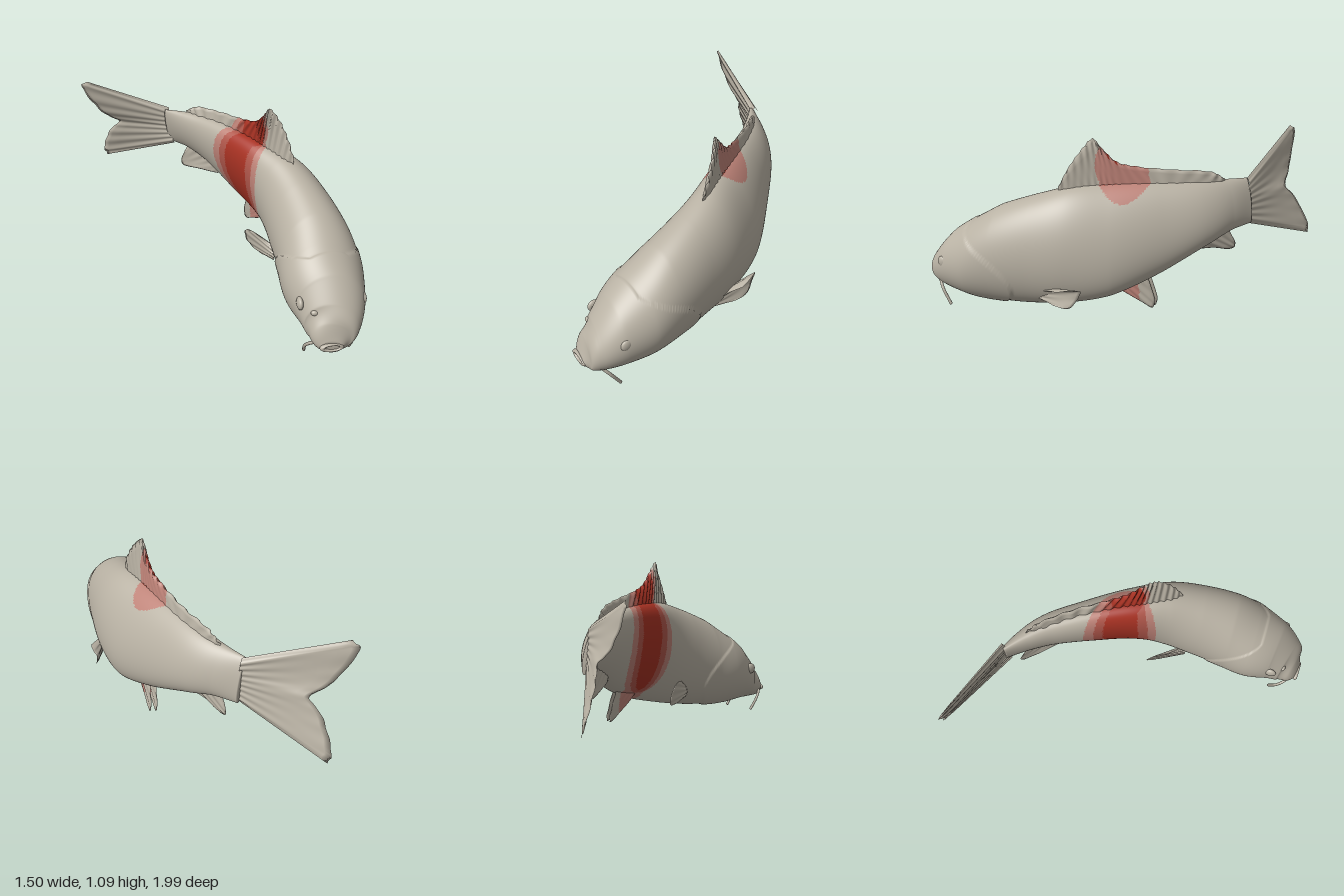
import * as THREE from 'three';

const V = (x, y, z) => new THREE.Vector3(x, y, z);
const curve = (pts) => new THREE.CatmullRomCurve3(pts.map((p) => V(...p)));
const mat = (name, color) => Object.assign(new THREE.MeshStandardMaterial({ color }), { name });

const materials = [
  mat('warm grey skin', 0xb9b2a4),
  mat('pale red marking', 0xbd8277),
  mat('mid red marking', 0xb0574b),
  mat('deep red marking', 0xa83223),
];

// ellipsoids that define the red marking: level, centre, radii
const patches = [
  [1, [0.1, 0.58, -0.11], [0.31, 0.5, 0.21]], // saddle on the right flank
  [1, [0.28, 0.94, -0.155], [0.12, 0.18, 0.17]], // dorsal fin
  [1, [0.31, 0.2, -0.18], [0.15, 0.2, 0.105]], // pelvic fins
  [2, [0.1, 0.58, -0.11], [0.3, 0.5, 0.155]],
  [3, [0.1, 0.58, -0.115], [0.26, 0.5, 0.1]],
  [3, [0.27, 0.92, -0.11], [0.1, 0.14, 0.1]],
];

function markingLevel(p, normalX) {
  let level = 0;
  for (const [l, c, r] of patches) {
    const d = ((p.x - c[0]) / r[0]) ** 2 + ((p.y - c[1]) / r[1]) ** 2 + ((p.z - c[2]) / r[2]) ** 2;
    if (d < 1) level = Math.max(level, l);
  }
  return normalX > 0.3 ? Math.min(level, 1) : level; // paler on the left flank
}

// smooth surface from a rule, with the faces sorted into marking colours
function surface(name, nu, nv, wrap, point) {
  const cols = wrap ? nv : nv + 1;
  const pts = [];
  for (let i = 0; i <= nu; i++) for (let j = 0; j < cols; j++) pts.push(point(i, j));
  const buckets = [[], [], [], []];
  const tri = new THREE.Triangle();
  const mid = V(0, 0, 0), normal = V(0, 0, 0);
  const add = (a, b, c) => {
    tri.set(pts[a], pts[b], pts[c]);
    if (tri.getArea() < 1e-10) return;
    tri.getMidpoint(mid);
    tri.getNormal(normal);
    buckets[markingLevel(mid, normal.x)].push(a, b, c);
  };
  for (let i = 0; i < nu; i++) {
    for (let j = 0; j < nv; j++) {
      const k = (j + 1) % cols;
      const a = i * cols + j, b = a + cols, d = i * cols + k, c = d + cols;
      add(a, b, c);
      add(a, c, d);
    }
  }
  const geo = new THREE.BufferGeometry().setFromPoints(pts);
  geo.setIndex(buckets.flat());
  let start = 0;
  buckets.forEach((b, i) => {
    if (b.length) geo.addGroup(start, b.length, i);
    start += b.length;
  });
  geo.computeVertexNormals();
  const mesh = new THREE.Mesh(geo, materials);
  mesh.name = name;
  return mesh;
}

// body stations from snout to tail: x, z, half width, bottom, top, lean
const stations = [
  [0.485, 0.985, 0.055, 0.12, 0.19, 0],
  [0.49, 0.95, 0.105, 0.1, 0.28, 0],
  [0.505, 0.9, 0.145, 0.095, 0.365, 0],
  [0.52, 0.8, 0.185, 0.09, 0.48, 0],
  [0.517, 0.65, 0.222, 0.08, 0.585, 0],
  [0.512, 0.5, 0.22, 0.085, 0.68, 0],
  [0.488, 0.3, 0.205, 0.11, 0.76, 0.05],
  [0.445, 0.1, 0.188, 0.155, 0.82, 0.13],
  [0.357, -0.1, 0.163, 0.22, 0.84, 0.25],
  [0.2, -0.33, 0.128, 0.335, 0.84, 0.25],
  [0.04, -0.53, 0.097, 0.465, 0.825, 0.25],
  [-0.08, -0.635, 0.066, 0.525, 0.81, 0.25],
  [-0.195, -0.722, 0.03, 0.54, 0.795, 0.26],
];

function makeBody() {
  const spine = curve(stations.map(([x, z, , , , lean]) => [x, lean, z]));
  const size = curve(stations.map(([, , w, b, t]) => [w, b, t]));
  const nu = 260, nv = 128;
  return surface('body', nu, nv, true, (i, j) => {
    const u = THREE.MathUtils.clamp((i - 1) / (nu - 2), 0, 1);
    const c = spine.getPoint(u), s = size.getPoint(u);
    const ahead = spine.getPoint(Math.max(u - 0.01, 0)).sub(spine.getPoint(Math.min(u + 0.01, 1)));
    const side = V(ahead.z, 0, -ahead.x).normalize();
    const a = (j / nv) * Math.PI * 2;
    const h = (s.z - s.y) / 2, cy = (s.z + s.y) / 2;
    let up = h * Math.sin(a), out = s.x * Math.cos(a);
    // raised head plate ending at the gill cover
    const rim = Math.min(0.69, 0.37 + 4.2 * (cy + up - 0.25) ** 2);
    const cap = i === 0 || i === nu ? 0 : 1;
    const swell = cap * (1 + 0.03 * THREE.MathUtils.clamp((c.z - rim) / 0.01, 0, 1));
    up *= swell;
    out = out * swell - c.y * up;
    return V(c.x + side.x * out, cy + up, c.z + side.z * out);
  });
}

// softly rayed fin stretched between a root line and an outer edge
function makeFin(name, rootPts, edgePts, ribs, thick, wave = 0.0015) {
  const root = curve(rootPts), edge = curve(edgePts);
  const reach = edge.getPoint(0.5).sub(root.getPoint(0.5));
  const along = root.getPoint(1).sub(root.getPoint(0));
  const normal = reach.cross(along).normalize();
  const nu = ribs * 12, nv = 28;
  return surface(name, nu, nv, false, (i, j) => {
    const s = i / nu, v = (j / nv) * 2 - 1;
    const t = 1 - Math.abs(v);
    const ridge = Math.cos(s * ribs * Math.PI * 2);
    const ends = Math.min(1, 12 * s, 12 * (1 - s));
    const half = thick * ends * (1 - 0.7 * t) * Math.min(1, 8 * (1 - t)) * (1 + 0.15 * ridge);
    const p = root.getPoint(s).lerp(edge.getPoint(s), t * (0.995 + 0.005 * ridge));
    return p.addScaledVector(normal, Math.sign(v) * half + wave * t * ridge);
  });
}

function blob(name, pos, scale) {
  const m = new THREE.Mesh(new THREE.SphereGeometry(1, 24, 16), materials[0]);
  m.name = name;
  m.position.set(...pos);
  m.scale.set(...scale);
  return m;
}

function makeBarbel(name, pts) {
  const g = new THREE.Group();
  g.name = name;
  const tube = new THREE.Mesh(new THREE.TubeGeometry(curve(pts), 32, 0.009, 10), materials[0]);
  g.add(tube, blob(name + 'Tip', pts[pts.length - 1], [0.009, 0.009, 0.009]));
  return g;
}

export function createModel() {
  const fish = new THREE.Group();
  fish.name = 'curvedCarp';
  fish.add(makeBody());

  // fins along the midline
  fish.add(makeFin('dorsalFin',
    [[0.435, 0.74, 0.17], [0.345, 0.79, 0.01], [0.265, 0.8, -0.13], [0.115, 0.8, -0.37], [-0.075, 0.78, -0.61]],
    [[0.445, 0.82, 0.165], [0.415, 0.94, 0.11], [0.37, 1.04, 0.05], [0.325, 1.09, 0.01], [0.31, 1.04, -0.035],
      [0.275, 0.96, -0.11], [0.22, 0.93, -0.2], [0.1, 0.9, -0.39], [-0.03, 0.87, -0.55], [-0.085, 0.82, -0.61]],
    18, 0.022, 0.005));
  fish.add(makeFin('tailFin',
    [[-0.19, 0.805, -0.705], [-0.175, 0.67, -0.71], [-0.16, 0.54, -0.71]],
    [[-0.71, 0.98, -0.8], [-0.75, 0.95, -0.82], [-0.69, 0.82, -0.83], [-0.61, 0.72, -0.84], [-0.525, 0.66, -0.85],
      [-0.58, 0.59, -0.89], [-0.62, 0.49, -0.94], [-0.64, 0.38, -0.99], [-0.62, 0.335, -0.995]],
    9, 0.017, 0.002));
  fish.add(makeFin('analFin',
    [[0.13, 0.46, -0.44], [0.04, 0.51, -0.53], [-0.07, 0.56, -0.64]],
    [[0.1, 0.42, -0.46], [-0.02, 0.405, -0.57], [-0.11, 0.385, -0.675], [-0.12, 0.41, -0.685], [-0.1, 0.5, -0.65]],
    5, 0.014));

  // paired fins
  for (const [name, x] of [['leftPelvicFin', 0.035], ['rightPelvicFin', 0]]) {
    fish.add(makeFin(name,
      [[0.36 + x, 0.29, -0.1], [0.33 + x, 0.32, -0.18], [0.3 + x, 0.37, -0.27]],
      [[0.35 + x, 0.25, -0.14], [0.3 + x, 0.17, -0.27], [0.275 + x, 0.125, -0.355], [0.265 + x, 0.16, -0.365],
        [0.265 + x, 0.25, -0.34], [0.27 + x, 0.33, -0.31]],
      5, 0.012));
  }
  fish.add(makeFin('leftPectoralFin',
    [[0.62, 0.265, 0.22], [0.615, 0.235, 0.23], [0.605, 0.205, 0.23]],
    [[0.68, 0.31, 0.06], [0.66, 0.335, -0.03], [0.635, 0.325, -0.07], [0.635, 0.27, -0.05],
      [0.65, 0.21, -0.005], [0.65, 0.2, 0.1]],
    5, 0.016));
  fish.add(makeFin('rightPectoralFin',
    [[0.35, 0.28, 0.24], [0.345, 0.235, 0.25], [0.345, 0.19, 0.24]],
    [[0.25, 0.33, 0.16], [0.205, 0.33, 0.09], [0.19, 0.29, 0.05], [0.205, 0.22, 0.04], [0.24, 0.18, 0.07],
      [0.28, 0.175, 0.14]],
    5, 0.016));

  // eyes, nostrils, mouth and barbels
  fish.add(blob('leftEye', [0.692, 0.325, 0.81], [0.018, 0.036, 0.038]));
  fish.add(blob('rightEye', [0.346, 0.325, 0.81], [0.018, 0.036, 0.038]));
  fish.add(blob('leftNostril', [0.595, 0.31, 0.905], [0.022, 0.016, 0.016]));
  fish.add(blob('rightNostril', [0.41, 0.31, 0.88], [0.022, 0.016, 0.016]));
  const lips = new THREE.Mesh(new THREE.TorusGeometry(0.052, 0.014, 14, 40), materials[0]);
  lips.name = 'lips';
  lips.position.set(0.485, 0.155, 0.985);
  lips.scale.set(1, 0.4, 0.95);
  fish.add(lips);
  fish.add(makeBarbel('leftBarbel',
    [[0.55, 0.16, 0.95], [0.595, 0.15, 0.93], [0.63, 0.1, 0.89], [0.638, 0.009, 0.835]]));
  fish.add(makeBarbel('rightBarbel',
    [[0.44, 0.165, 0.95], [0.395, 0.15, 0.93], [0.37, 0.1, 0.89], [0.377, 0.025, 0.845]]));
  return fish;
}
